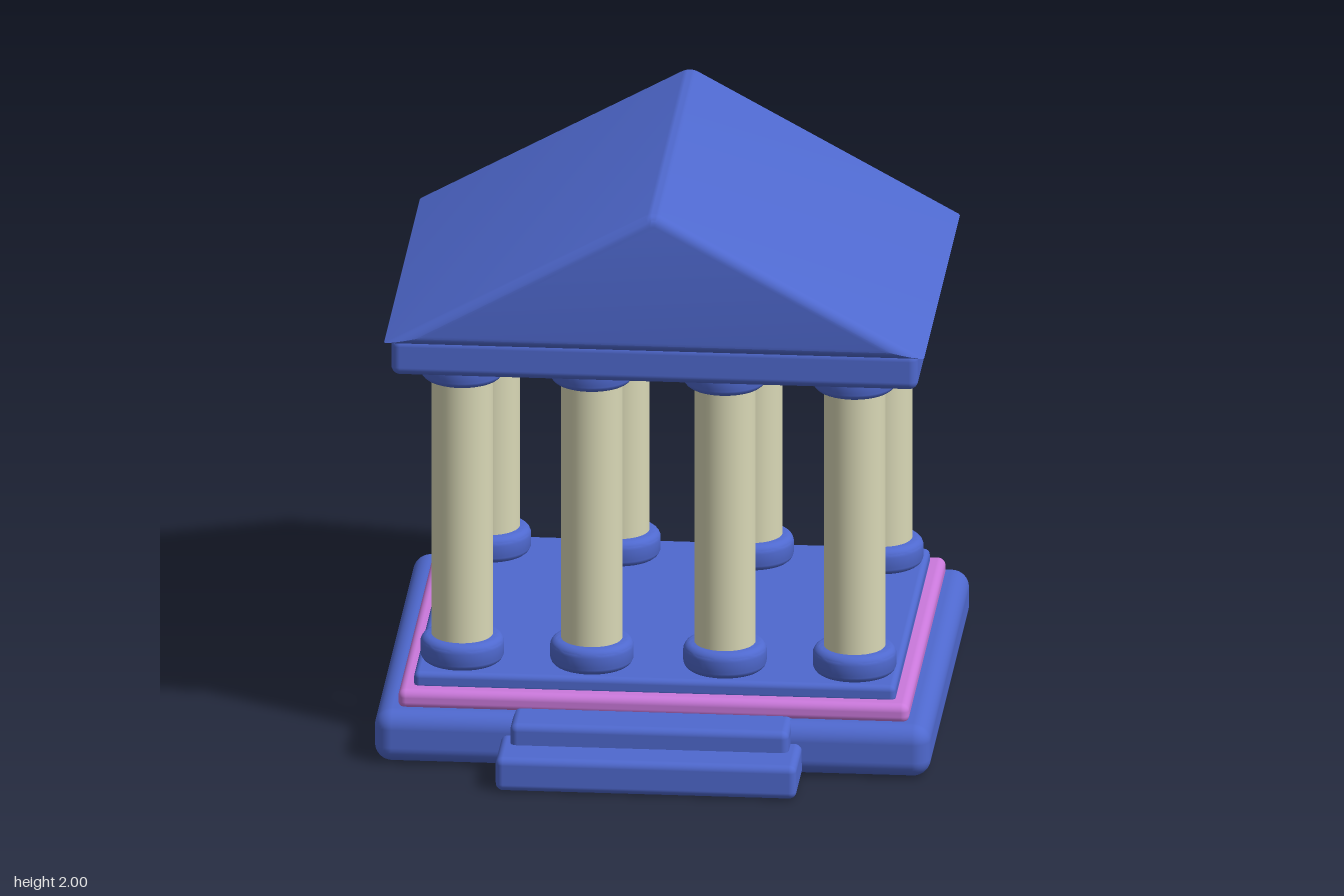
import * as THREE from 'three';
import { toCreasedNormals } from 'three/addons/utils/BufferGeometryUtils.js';
import { RoundedBoxGeometry } from 'three/addons/geometries/RoundedBoxGeometry.js';

const blue = new THREE.MeshStandardMaterial({ name: 'blue', color: 0x4f69cf });
const pink = new THREE.MeshStandardMaterial({ name: 'pink', color: 0xcb79dc });
const cream = new THREE.MeshStandardMaterial({ name: 'cream', color: 0xd9d8b6 });

function add(parent, name, geometry, material) {
  const mesh = new THREE.Mesh(geometry, material);
  mesh.name = name;
  parent.add(mesh);
  return mesh;
}

// Rounded slab given by half width, y range, z range and edge radius
function slab(parent, name, material, halfW, y0, y1, z0, z1, r) {
  const geo = new RoundedBoxGeometry(halfW * 2, y1 - y0, z1 - z0, 5, r);
  add(parent, name, geo, material).position.set(0, (y0 + y1) / 2, (z0 + z1) / 2);
}

// Round disc with softened rims
function discGeometry(radius, height, r) {
  const pts = [new THREE.Vector2(0, 0)];
  for (const [cy, start] of [[r, -Math.PI / 2], [height - r, 0]]) {
    for (let i = 0; i <= 6; i++) {
      const a = start + (i / 6) * Math.PI / 2;
      pts.push(new THREE.Vector2(radius - r + r * Math.cos(a), cy + r * Math.sin(a)));
    }
  }
  pts.push(new THREE.Vector2(0, height));
  return toCreasedNormals(new THREE.LatheGeometry(pts, 40), 0.5);
}

// Gable prism: a triangle with a rounded ridge, inset along a curve at both ends
function roofGeometry(halfW, y0, y1, zBack, zFront, bevel, ridge) {
  const yc = y1 - ridge;
  let slope = 0.5;
  for (let i = 0; i < 20; i++) slope = Math.atan((yc + ridge / Math.cos(slope) - y0) / halfW);
  const ring = (d, z) => {
    const x = halfW - d / Math.tan(slope / 2);
    const pts = [[-x, y0 + d, z], [x, y0 + d, z]];
    for (let i = 0; i <= 8; i++) {
      const a = slope * (1 - i / 4);
      pts.push([(ridge - d) * Math.sin(a), yc + (ridge - d) * Math.cos(a), z]);
    }
    return pts;
  };
  const rings = [];
  const steps = 6;
  for (let i = 0; i <= steps; i++) {
    const a = (i / steps) * Math.PI / 2;
    rings.push(ring(bevel * (1 - Math.sin(a)), zBack + bevel * (1 - Math.cos(a))));
  }
  for (let i = steps; i >= 0; i--) {
    const a = (i / steps) * Math.PI / 2;
    rings.push(ring(bevel * (1 - Math.sin(a)), zFront - bevel * (1 - Math.cos(a))));
  }
  const n = rings[0].length;
  const last = (rings.length - 1) * n;
  const index = [];
  for (let k = 0; k < rings.length - 1; k++) {
    for (let i = 0; i < n; i++) {
      const j = (i + 1) % n;
      const a = k * n + i, b = k * n + j;
      index.push(a, b, b + n, a, b + n, a + n);
    }
  }
  for (let i = 1; i < n - 1; i++) {
    index.push(0, i + 1, i, last, last + i, last + i + 1);
  }
  const geo = new THREE.BufferGeometry();
  geo.setAttribute('position', new THREE.Float32BufferAttribute(rings.flat(2), 3));
  geo.setIndex(index);
  return toCreasedNormals(geo, 0.5);
}

export function createModel() {
  const temple = new THREE.Group();
  temple.name = 'temple';

  // Stepped platform
  slab(temple, 'foundation', blue, 0.952, 0.005, 0.19, -0.935, 0.7, 0.06);
  slab(temple, 'pinkTier', pink, 0.875, 0.18, 0.25, -0.86, 0.63, 0.027);
  slab(temple, 'floor', blue, 0.825, 0.235, 0.297, -0.81, 0.575, 0.02);

  // Entrance steps
  slab(temple, 'lowerStep', blue, 0.515, 0.005, 0.125, 0.6, 0.935, 0.025);
  slab(temple, 'upperStep', blue, 0.477, 0.08, 0.198, 0.45, 0.795, 0.025);

  // Two rows of four columns
  const base = discGeometry(0.143, 0.095, 0.03);
  const shaft = new THREE.CylinderGeometry(0.105, 0.105, 0.96, 40);
  for (const z of [0.42, -0.652]) {
    for (const x of [-0.672, -0.228, 0.228, 0.672]) {
      const column = new THREE.Group();
      column.name = 'column';
      column.position.set(x, 0, z);
      add(column, 'columnBase', base, blue).position.y = 0.295;
      add(column, 'columnShaft', shaft, cream).position.y = 0.86;
      add(column, 'columnCapital', base, blue).position.y = 1.323;
      temple.add(column);
    }
  }

  // Beam and gable roof
  slab(temple, 'beam', blue, 0.902, 1.38, 1.515, -0.825, 0.595, 0.03);
  add(temple, 'roof', roofGeometry(0.925, 1.502, 2, -0.865, 0.632, 0.038, 0.06), blue);

  return temple;
}
